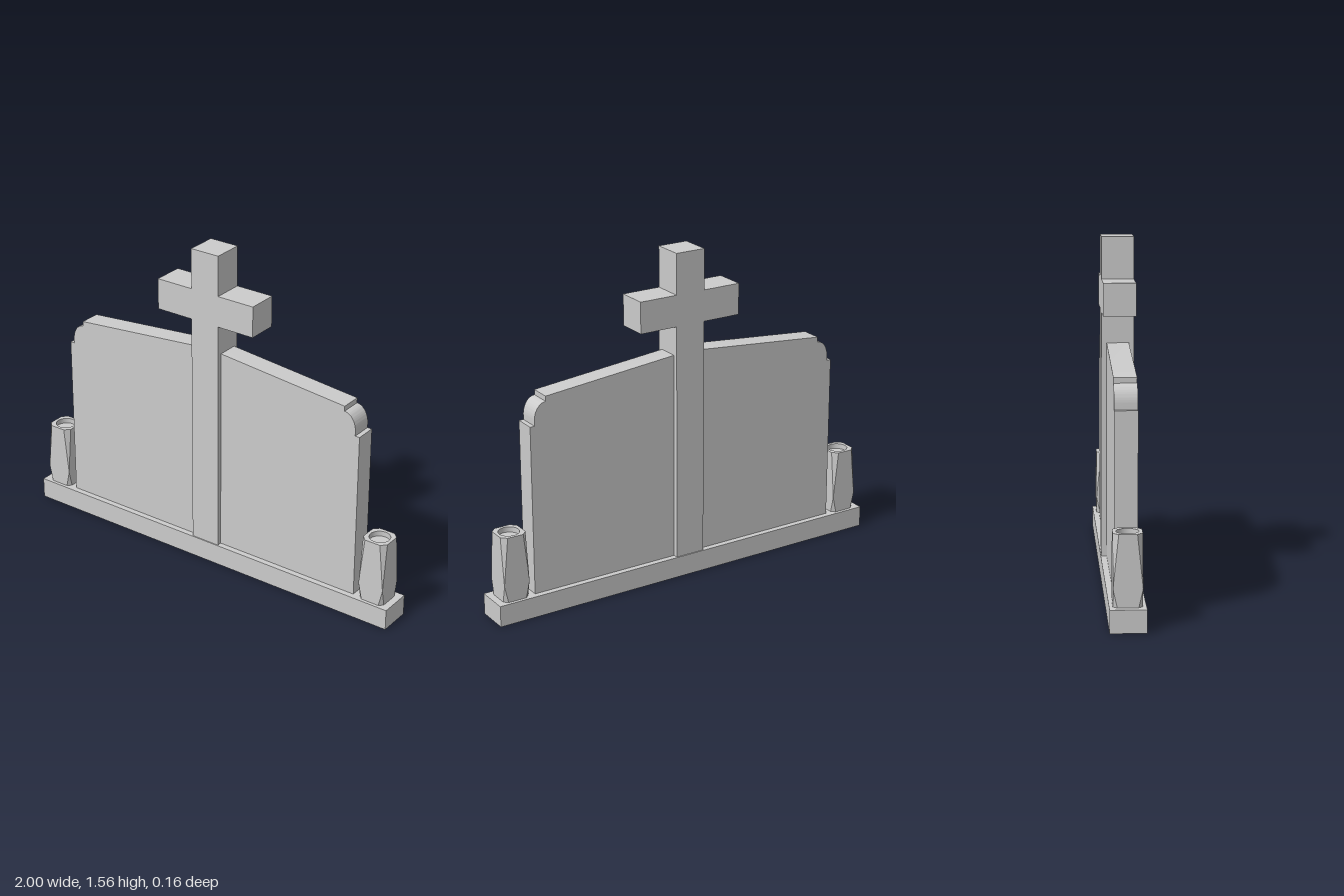
import * as THREE from 'three';
import { toCreasedNormals } from 'three/addons/utils/BufferGeometryUtils.js';

const material = new THREE.MeshStandardMaterial({ color: 0xcccccc });
const flat = new THREE.MeshStandardMaterial({ color: 0xcccccc, flatShading: true });
const inner = new THREE.MeshStandardMaterial({ color: 0xcccccc, side: THREE.BackSide });

function addMesh(parent, name, geometry, mat = material) {
  const mesh = new THREE.Mesh(geometry, mat);
  mesh.name = name;
  parent.add(mesh);
  return mesh;
}

// Extrusion centred on z = 0
function plate(shape, depth) {
  const g = new THREE.ExtrudeGeometry(shape, { depth, bevelEnabled: false, curveSegments: 12 });
  g.translate(0, 0, -depth / 2);
  return toCreasedNormals(g, 0.5);
}

// Square outline with its corners cut off, counter-clockwise
function cutSquare(h, c) {
  const k = h - c;
  return [[h, -k], [h, k], [k, h], [-k, h], [-h, k], [-h, -k], [-k, -h], [k, -h]];
}

function createVase() {
  const vase = new THREE.Group();
  const half = 0.0625, height = 0.31, topCut = 0.024, radius = 0.048, recess = 0.025;

  // Body: corner cuts vanish at the widest level and grow towards both ends
  const levels = [[0, 0.018], [0.08, 0], [height, topCut]];
  const pos = [], idx = [];
  for (const [y, cut] of levels)
    for (const [x, z] of cutSquare(half, cut)) pos.push(x, y, -z);
  for (let r = 0; r < 2; r++)
    for (let i = 0; i < 8; i++) {
      const a = r * 8 + i, b = r * 8 + (i + 1) % 8;
      idx.push(a, b, b + 8, a, b + 8, a + 8);
    }
  for (let i = 1; i < 7; i++) idx.push(0, i + 1, i);
  const body = new THREE.BufferGeometry();
  body.setAttribute('position', new THREE.Float32BufferAttribute(pos, 3));
  body.setIndex(idx);
  const bodyFlat = body.toNonIndexed();
  bodyFlat.computeVertexNormals();
  addMesh(vase, 'vaseBody', bodyFlat, flat);

  // Rim with a round opening
  const rim = new THREE.Shape(cutSquare(half, topCut).map(([x, y]) => new THREE.Vector2(x, y)));
  rim.holes.push(new THREE.Path().absarc(0, 0, radius, 0, Math.PI * 2, true));
  addMesh(vase, 'vaseRim', new THREE.ShapeGeometry(rim, 16).rotateX(-Math.PI / 2)).position.y = height;

  // Shallow recess
  addMesh(vase, 'vaseRecessWall', new THREE.CylinderGeometry(radius, radius, recess, 32, 1, true), inner)
    .position.y = height - recess / 2;
  addMesh(vase, 'vaseRecessFloor', new THREE.CircleGeometry(radius, 32).rotateX(-Math.PI / 2))
    .position.y = height - recess;
  return vase;
}

export function createModel() {
  const model = new THREE.Group();
  model.name = 'headstone';
  const baseTop = 0.1;

  // Plinth
  addMesh(model, 'base', new THREE.BoxGeometry(2, baseTop, 0.156)).position.y = baseTop / 2;

  // Slab with sloping top and stepped, rounded shoulders
  const slab = new THREE.Shape();
  slab.moveTo(-0.81, baseTop);
  slab.lineTo(0.81, baseTop);
  slab.lineTo(0.81, 0.897);
  slab.lineTo(0.788, 0.897);
  slab.lineTo(0.788, 0.92);
  slab.absellipse(0.73, 0.92, 0.058, 0.08, 0, Math.PI / 2, false);
  slab.lineTo(0.73, 1.024);
  slab.lineTo(0, 1.092);
  slab.lineTo(-0.73, 1.024);
  slab.lineTo(-0.73, 1.0);
  slab.absellipse(-0.73, 0.92, 0.058, 0.08, Math.PI / 2, Math.PI, false);
  slab.lineTo(-0.788, 0.897);
  slab.lineTo(-0.81, 0.897);
  addMesh(model, 'slab', plate(slab, 0.1));

  // Cross standing through the slab
  const w = 0.073, arm = 0.26, low = 1.225, high = 1.372, top = 1.563;
  const cross = new THREE.Shape([
    [-w, baseTop], [w, baseTop], [w, low], [arm, low], [arm, high], [w, high],
    [w, top], [-w, top], [-w, high], [-arm, high], [-arm, low], [-w, low],
  ].map(([x, y]) => new THREE.Vector2(x, y)));
  addMesh(model, 'cross', plate(cross, 0.146));

  // Vases at both ends
  for (const [name, side] of [['leftVase', 1], ['rightVase', -1]]) {
    const vase = createVase();
    vase.name = name;
    vase.position.set(side * 0.905, baseTop, 0);
    model.add(vase);
  }
  return model;
}
